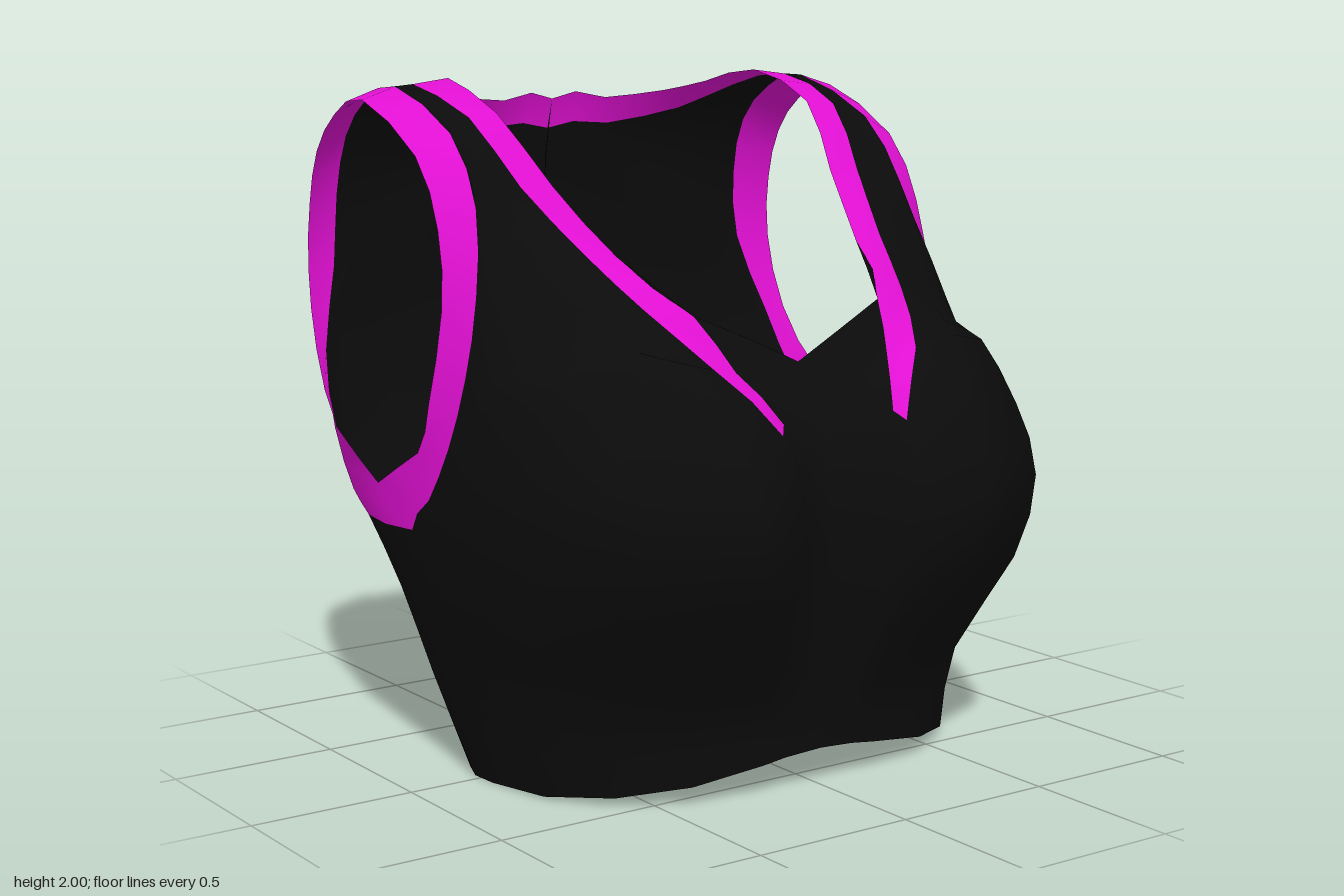
import * as THREE from 'three';
import { mergeVertices } from 'three/addons/utils/BufferGeometryUtils.js';

// Half-garment cross-sections, running from the front hem up, over the shoulder and down the back.
// Each one: [centre or neck edge, neck trim inside, neck trim outside, arm trim inside, side seam or arm edge, bust points]
const chest = [
  [[0, .11, .62], [.12, .1, .61], [.2, .09, .61], [.765, 0, .06], [.77, 0, -.03]],
  [[0, .29, .63], [.13, .28, .63], [.2, .28, .63], [.825, .27, .06], [.83, .28, -.08]],
  [[0, .58, .64], [.15, .58, .72], [.22, .6, .77], [.885, .53, .02], [.885, .53, -.18],
    [[.4, .62, .82], [.66, .6, .70], [.83, .55, .42]]],
  [[0, .85, .66], [.17, .84, .76], [.24, .86, .80], [.925, .74, -.1], [.925, .73, -.26],
    [[.4, .86, .865], [.67, .86, .775], [.84, .79, .48]]],
  [[0, 1.06, .61], [.195, 1.085, .69], [.22, 1.06, .72], [.92, .84, -.01], [.935, .85, -.28],
    [[.42, 1.1, .78], [.71, 1.05, .64], [.855, .95, .38]]],
  [[0, 1.22, .5], [.27, 1.22, .57], [.36, 1.24, .59], [.905, 1.0, .08], [.925, .97, -.06],
    [[.48, 1.27, .61], [.72, 1.22, .47], [.84, 1.12, .3]]],
  [[.33, 1.37, .45], [.33, 1.37, .45], [.46, 1.39, .40], [.87, 1.2, .12], [.92, 1.12, 0]],
];
// Straps: [neck edge, neck trim outside, arm trim inside, arm edge]
const strap = [
  [[.43, 1.52, .22], [.53, 1.53, .21], [.82, 1.42, .1], [.885, 1.38, .02]],
  [[.505, 1.71, 0], [.61, 1.71, 0], [.77, 1.66, .02], [.87, 1.6, -.02]],
  [[.567, 1.91, -.2], [.665, 1.9, -.19], [.755, 1.86, -.14], [.865, 1.8, -.15]],
  [[.565, 2, -.48], [.685, 1.985, -.48], [.75, 1.98, -.47], [.865, 1.945, -.46]],
];
// Back, in the same order as the straps
const back = [
  [[.49, 1.96, -.64], [.6, 1.945, -.64], [.75, 1.935, -.65], [.868, 1.895, -.63]],
  [[.38, 1.93, -.72], [.46, 1.87, -.75], [.75, 1.82, -.785], [.87, 1.78, -.745]],
  [[.19, 1.91, -.78], [.22, 1.825, -.815], [.755, 1.64, -.845], [.87, 1.62, -.8]],
  [[0, 1.91, -.8], [0, 1.815, -.83], [.77, 1.42, -.845], [.875, 1.42, -.81]],
  [[0, 1.55, -.865], [0, 1.55, -.865], [.84, 1.17, -.775], [.89, 1.18, -.74]],
  [[0, 1.2, -.835], [0, 1.2, -.835], [.875, .95, -.66], [.915, .97, -.57]],
  [[0, .95, -.785], [0, .95, -.785], [.9, .79, -.5], [.935, .85, -.28]],
  [[0, .75, -.73], [0, .75, -.73], [.915, .735, -.38], [.925, .73, -.26]],
  [[0, .5, -.64], [0, .5, -.64], [.865, .53, -.28], [.885, .53, -.18]],
  [[0, .26, -.545], [0, .26, -.545], [.81, .28, -.2], [.83, .28, -.08]],
  [[0, 0, -.44], [0, 0, -.44], [.74, 0, -.11], [.77, 0, -.03]],
];

// Points on a quarter arc between the neck trim and the arm trim
function arc(b, r) {
  return [1, 2, 3].map((i) => {
    const s = Math.sin(i * Math.PI / 8), k = 1 - Math.cos(i * Math.PI / 8);
    return [b[0] + (r[0] - b[0]) * s, b[1] + (r[1] - b[1]) * s, b[2] + (r[2] - b[2]) * k];
  });
}

export function createModel() {
  const group = new THREE.Group();
  const black = new THREE.MeshStandardMaterial({ name: 'black fabric', color: 0x0b0b0b, side: THREE.DoubleSide });
  const pink = new THREE.MeshStandardMaterial({ name: 'magenta trim', color: 0xe010d2, side: THREE.DoubleSide });

  const rows = [...chest, ...[...strap, ...back].map(([c, b, r, s]) => [c, c, b, r, s])]
    .map(([c, a, b, r, s, mid]) => [c, a, b, ...(mid || arc(b, r)), r, s]);
  const COLS = 8, SUB = 2, last = rows.length - 1;
  const steps = last * SUB;

  // Smooth curve along each column; the side seam stays straight so that front and back meet
  const columns = [];
  for (let c = 0; c < COLS; c++) {
    const pts = rows.map((row) => new THREE.Vector3(...row[c]));
    const curve = new THREE.CatmullRomCurve3(pts, false, 'catmullrom', 0.5);
    const line = [];
    for (let k = 0; k <= steps; k++) {
      const r = Math.min(Math.floor(k / SUB), last - 1), f = k / SUB - r;
      const seam = c === COLS - 1 && (r < 4 || r >= 17);
      const p = seam ? pts[r].clone().lerp(pts[r + 1], f) : curve.getPoint(k / steps);
      p.x = Math.max(p.x, 0);
      p.y = Math.max(p.y, 0);
      line.push(p);
    }
    columns.push(line);
  }

  // Both halves as one skin, with the faces sorted by part
  const position = [], parts = { body: [], neckTrim: [], armTrim: [] };
  for (const side of [1, -1]) {
    const base = position.length / 3;
    for (const line of columns) for (const p of line) position.push(side * p.x, p.y, p.z);
    for (let c = 0; c < COLS - 1; c++) {
      for (let k = 0; k < steps; k++) {
        const r = Math.floor(k / SUB);
        const name = c === 1 && r >= 4 && r < 14 ? 'neckTrim'
          : c === COLS - 2 && r >= 3 && r < 18 ? 'armTrim' : 'body';
        const i = base + c * (steps + 1) + k, j = i + steps + 1;
        if (side > 0) parts[name].push(i, j, j + 1, i, j + 1, i + 1);
        else parts[name].push(i, j + 1, j, i, i + 1, j + 1);
      }
    }
  }
  const raw = new THREE.BufferGeometry();
  raw.setAttribute('position', new THREE.Float32BufferAttribute(position, 3));
  raw.setIndex(Object.values(parts).flat());
  const skin = mergeVertices(raw, 1e-4);
  skin.computeVertexNormals();

  // One mesh per part, sharing the smooth normals of the whole skin
  const index = Array.from(skin.index.array);
  let start = 0;
  for (const [name, faces] of Object.entries(parts)) {
    const geometry = new THREE.BufferGeometry();
    geometry.setAttribute('position', skin.getAttribute('position'));
    geometry.setAttribute('normal', skin.getAttribute('normal'));
    geometry.setIndex(index.slice(start, start + faces.length));
    start += faces.length;
    const mesh = new THREE.Mesh(geometry, name === 'body' ? black : pink);
    mesh.name = name;
    group.add(mesh);
  }
  group.name = 'croppedTop';
  return group;
}
